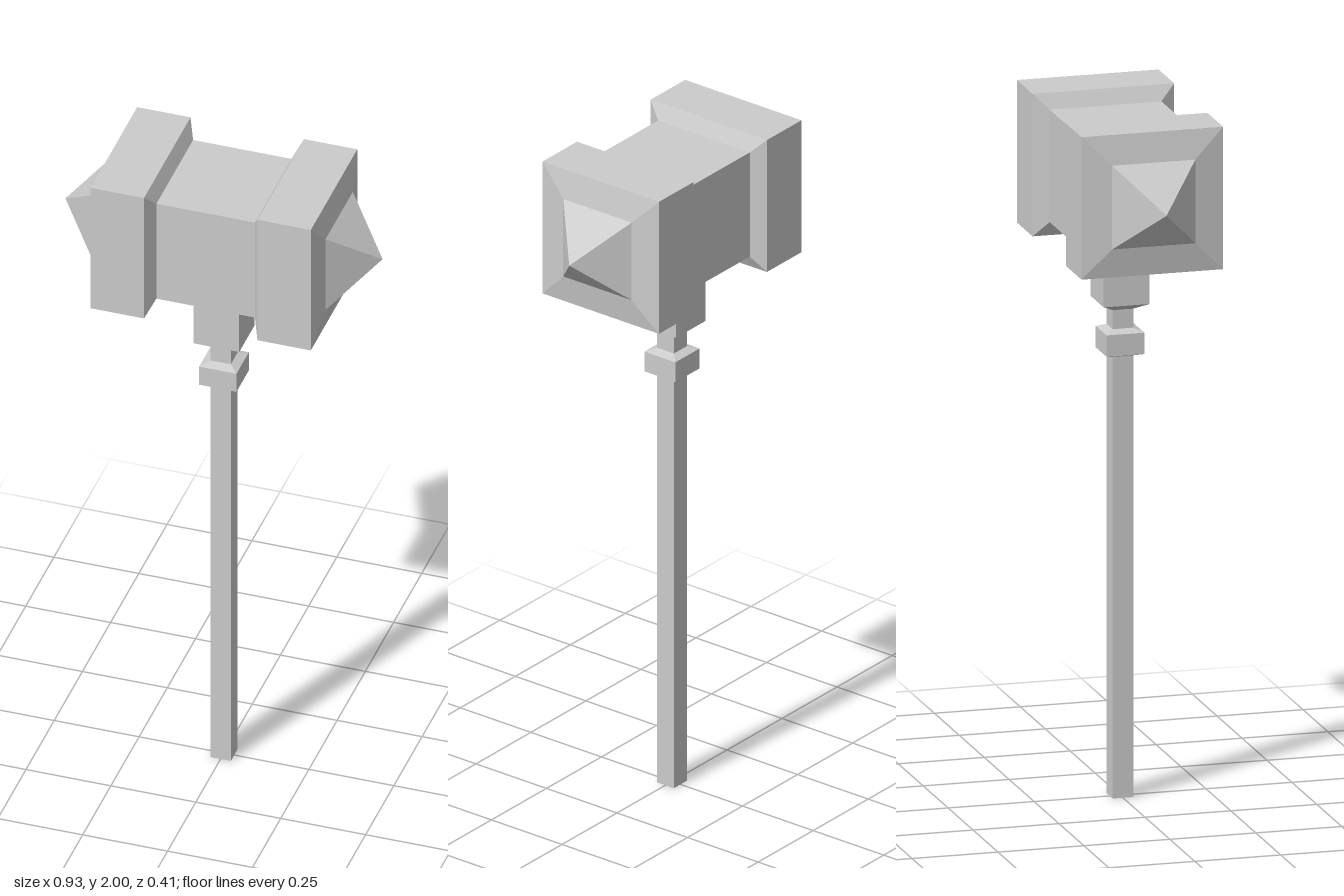
import * as THREE from 'three';

const material = new THREE.MeshStandardMaterial({ color: 0xcccccc, flatShading: true });

// Square-section solid from [half width, height] pairs, listed bottom to top.
function squareLathe(name, profile) {
  const points = profile.map(([half, y]) => new THREE.Vector2(half * Math.SQRT2, y));
  const mesh = new THREE.Mesh(new THREE.LatheGeometry(points, 4, Math.PI / 4), material);
  mesh.name = name;
  return mesh;
}

export function createModel() {
  const group = new THREE.Group();
  group.name = 'warHammer';

  // Long square shaft, running up into the socket
  group.add(squareLathe('shaft', [[0, 0], [0.03, 0], [0.03, 1.42]]));

  // Bevelled collar ring
  group.add(squareLathe('collar', [[0.03, 1.277], [0.055, 1.285], [0.055, 1.347], [0.03, 1.357]]));

  // Socket under the head, tapering down to the shaft
  group.add(squareLathe('socket', [[0.03, 1.412], [0.067, 1.432], [0.067, 1.64]]));

  // Head: spike, face bevel, block and step for one end, mirrored for the other
  const end = [[0.1625, 0.145], [0.206, 0.167], [0.206, 0.324], [0.121, 0.339], [0, 0.467]];
  const mirrored = end.map(([half, x]) => [half, -x]).reverse();
  const head = squareLathe('head', [...mirrored, ...end]);
  head.rotation.z = -Math.PI / 2;
  head.position.y = 1.794;
  group.add(head);

  return group;
}
